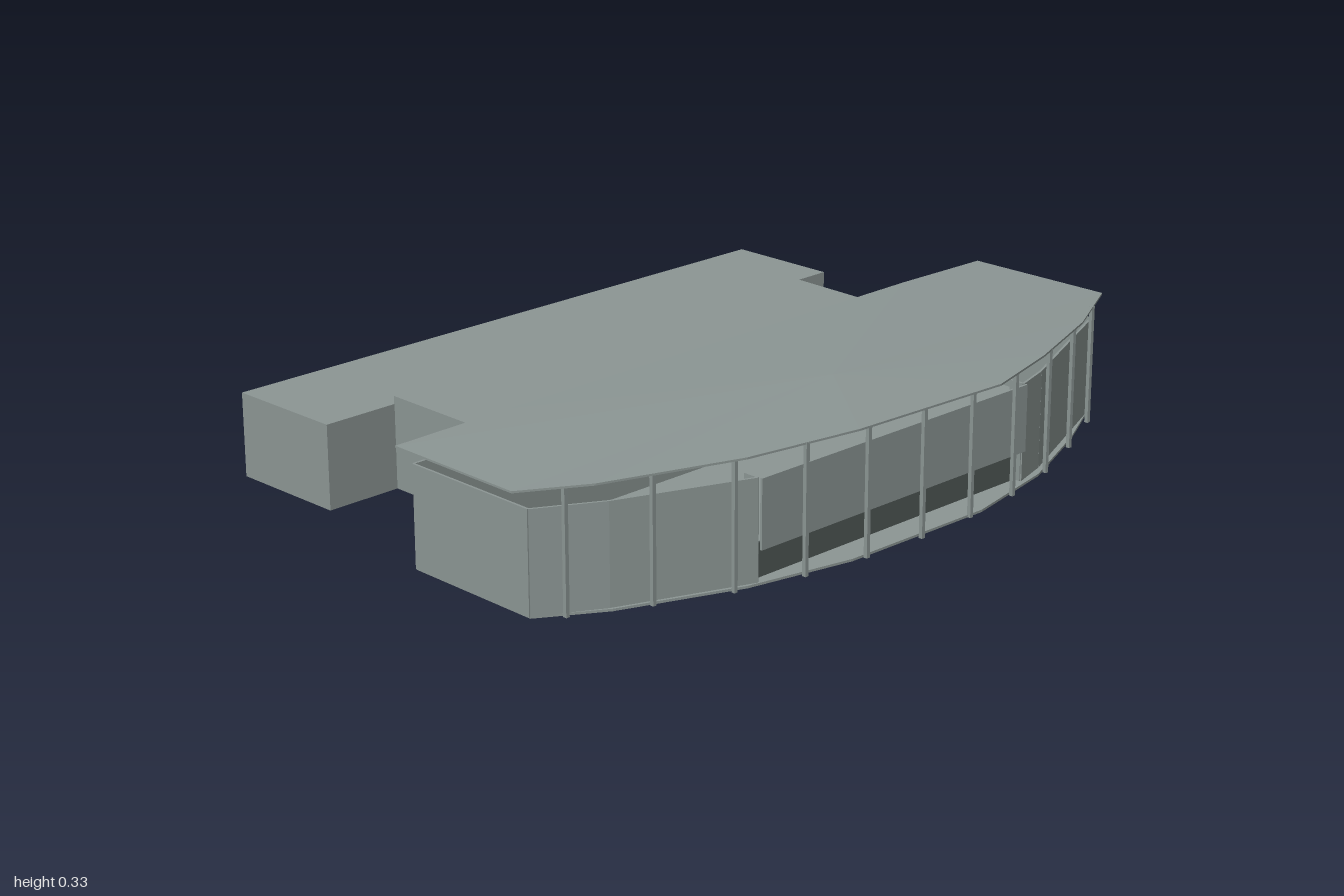
import * as THREE from 'three';

export function createModel() {
  const model = new THREE.Group();
  const grey = new THREE.MeshStandardMaterial({ color: 0x8c9694 });
  grey.name = 'stoneGrey';
  const dark = new THREE.MeshStandardMaterial({ color: 0x505856 });
  dark.name = 'darkGrey';

  const add = (name, geometry, material = grey, parent = model) => {
    const mesh = new THREE.Mesh(geometry, material);
    mesh.name = name;
    parent.add(mesh);
    return mesh;
  };

  // Upright prism over a ground outline of [x, z] points
  const prism = (name, outline, y0, y1) => {
    const shape = new THREE.Shape(outline.map(([x, z]) => new THREE.Vector2(x, -z)));
    const geometry = new THREE.ExtrudeGeometry(shape, { depth: y1 - y0, bevelEnabled: false });
    geometry.rotateX(-Math.PI / 2).translate(0, y0, 0);
    return add(name, geometry);
  };

  // Thin upright wall between two ground points
  const wall = (name, a, b, y0, y1, material, parent) => {
    const dx = b[0] - a[0], dz = b[1] - a[1];
    const mesh = add(name, new THREE.BoxGeometry(Math.hypot(dx, dz), y1 - y0, 0.006), material, parent);
    mesh.position.set((a[0] + b[0]) / 2, (y0 + y1) / 2, (a[1] + b[1]) / 2);
    mesh.rotation.y = -Math.atan2(dz, dx);
    return mesh;
  };

  // Rear and middle blocks
  prism('rearBlock', [[-0.87, -0.39], [0.845, -0.42], [0.84, -0.73], [-0.875, -0.715]], 0, 0.215);
  prism('middleBlock', [[-0.665, 0.025], [0.695, 0.01], [0.7, -0.415], [-0.665, -0.395]], 0, 0.235);

  // Floor slab of the front hall, bowed at the front
  prism('hallFloor', [
    [-0.955, 0.035], [-0.955, 0.42], [-0.8, 0.515], [-0.5, 0.63], [-0.22, 0.685],
    [0.22, 0.69], [0.5, 0.63], [0.76, 0.52], [0.95, 0.42], [0.95, 0.015],
  ], 0, 0.006);

  // Hall walls: an open-topped ring, with a gap for the entrance
  const hall = new THREE.Group();
  hall.name = 'hallWalls';
  model.add(hall);
  const ring = [
    [-0.47, 0.59], [-0.47, 0.63], [-0.8, 0.505], [-0.955, 0.42], [-0.955, 0.035],
    [0.947, 0.017], [0.947, 0.42], [0.53, 0.6], [0.43, 0.63], [0.43, 0.59],
  ];
  for (let i = 0; i < ring.length - 1; i++) {
    wall('hallWall', ring[i], ring[i + 1], 0.003, 0.255, grey, hall);
  }

  // Entrance: raised front panel over a recessed dark plinth
  wall('entrancePanel', [-0.47, 0.64], [0.43, 0.64], 0.085, 0.255, grey);
  wall('entrancePlinth', [-0.47, 0.61], [0.43, 0.61], 0.004, 0.09, dark);

  // Slim columns along the bowed front
  const columns = new THREE.Group();
  columns.name = 'columns';
  model.add(columns);
  const bow = [0.7, 0.692, 0.67, 0.625, 0.553, 0.468];
  for (let i = -5; i <= 5; i++) {
    const top = 0.32 - 0.0004 * i * i;
    const column = add('column', new THREE.BoxGeometry(0.01, top, 0.01), grey, columns);
    column.position.set(i * 0.178 - 0.003, top / 2, bow[Math.abs(i)]);
  }

  // Canopy: a shallow faceted fan rising to a low peak, [x, y, z] rim
  const rim = [
    [-1, 0.307, 0.03], [-1, 0.307, 0.42], [-0.85, 0.312, 0.52], [-0.52, 0.318, 0.645],
    [-0.22, 0.322, 0.7], [0.24, 0.322, 0.72], [0.48, 0.319, 0.65], [0.76, 0.313, 0.54],
    [1, 0.307, 0.41], [0.99, 0.307, 0], [0.7, 0.31, 0], [-0.67, 0.31, 0.025],
  ];
  const peak = [0, 0.327, 0.41];
  const lower = ([x, y, z]) => [x, y - 0.005, z];
  const triangles = [];
  rim.forEach((a, i) => {
    const b = rim[(i + 1) % rim.length];
    const c = lower(a), d = lower(b);
    triangles.push(peak, a, b, lower(peak), d, c, a, c, d, a, d, b);
  });
  const canopy = new THREE.BufferGeometry();
  canopy.setAttribute('position', new THREE.Float32BufferAttribute(triangles.flat(), 3));
  canopy.computeVertexNormals();
  add('canopy', canopy);

  return model;
}
